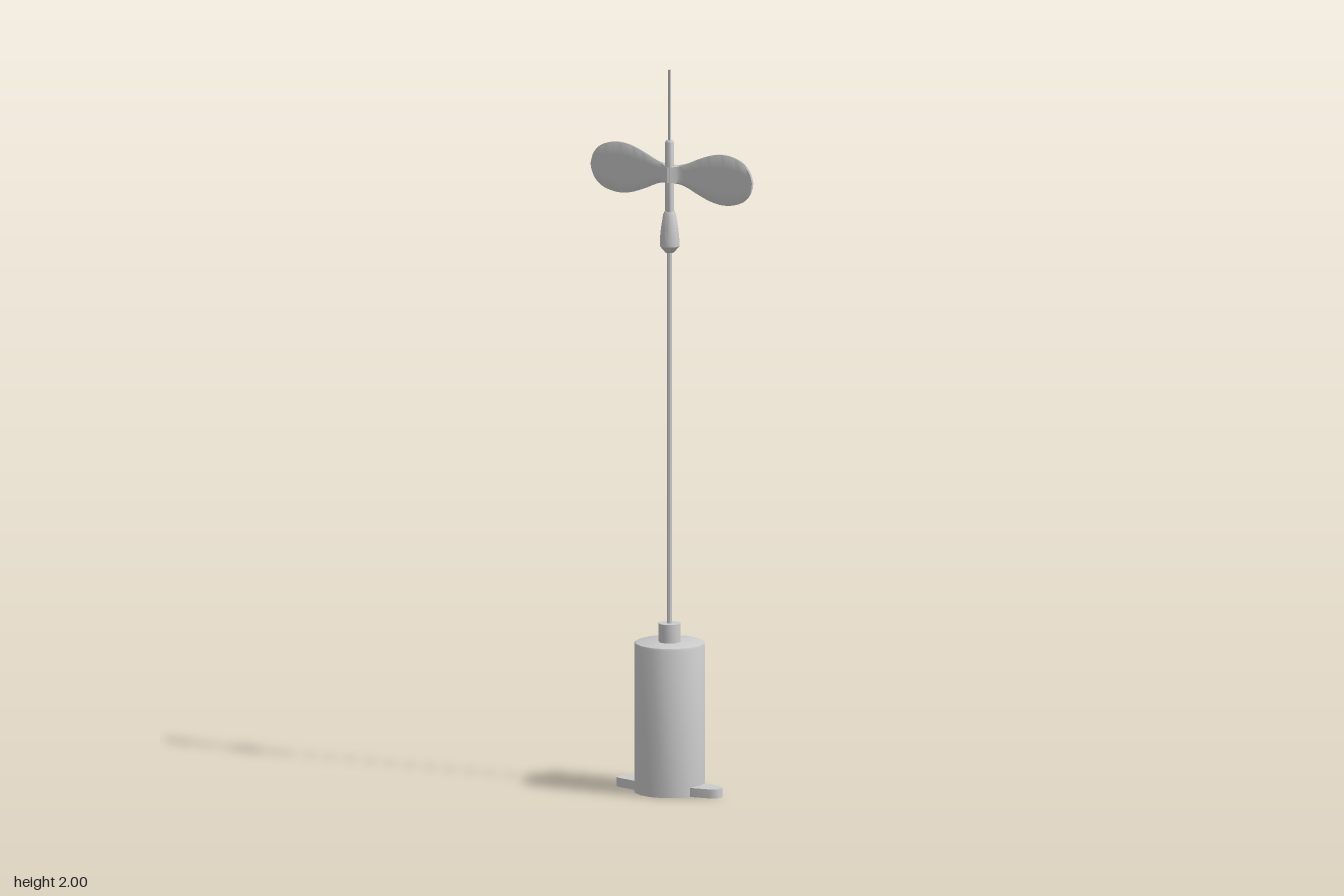
import * as THREE from 'three';
import { toCreasedNormals } from 'three/addons/utils/BufferGeometryUtils.js';

const material = new THREE.MeshStandardMaterial({ color: 0xcccccc });

function add(group, name, geometry) {
  const mesh = new THREE.Mesh(toCreasedNormals(geometry, 0.6), material);
  mesh.name = name;
  group.add(mesh);
  return mesh;
}

// Turned part from [radius, height] pairs, bottom to top
function turned(profile, sides) {
  return new THREE.LatheGeometry(profile.map(([r, y]) => new THREE.Vector2(r, y)), sides);
}

// Two-lobed blade lofted along x: flat back, front swelling over the rod at the hub
function bladeGeometry() {
  const half = [[0, 0.025], [0.04, 0.03], [0.09, 0.051], [0.13, 0.065], [0.165, 0.07],
    [0.2, 0.066], [0.23, 0.054], [0.25, 0.034], [0.257, 0.018], [0.26, 0.003]];
  const points = [...half.slice(1).reverse().map(([x, h]) => [-x, h]), ...half];
  const curve = new THREE.CatmullRomCurve3(points.map(([x, h]) => new THREE.Vector3(x, h, 0)));
  const stations = 72, back = -0.016, front = -0.008;
  const rows = [-1, -0.5, 0, 0.5, 1];
  const positions = [], index = [];
  for (let i = 0; i <= stations; i++) {
    const p = curve.getPoint(i / stations);
    const h = Math.max(p.y, 0.003), bevel = Math.min(0.004, h * 0.5);
    const bulge = 0.022 * Math.exp(-Math.pow(p.x / 0.016, 2));
    const ring = [
      ...rows.map((t) => [t * (h - bevel), front + bulge]),
      [h, front - 0.002], [h, back + 0.002],
      ...rows.map((t) => [-t * (h - bevel), back]),
      [-h, back + 0.002], [-h, front - 0.002],
    ];
    ring.forEach(([y, z]) => positions.push(p.x, y, z));
  }
  const n = 14;
  for (let i = 0; i < stations; i++) {
    for (let j = 0; j < n; j++) {
      const a = i * n + j, b = i * n + (j + 1) % n;
      index.push(a, a + n, b, b, a + n, b + n);
    }
  }
  // Tip caps
  const last = stations * n;
  for (let j = 1; j < n - 1; j++) {
    index.push(0, j, j + 1, last, last + j + 1, last + j);
  }
  const geometry = new THREE.BufferGeometry();
  geometry.setAttribute('position', new THREE.Float32BufferAttribute(positions, 3));
  geometry.setIndex(index);
  return geometry;
}

// Tapered foot with a rounded outer end, lying along +x
function footGeometry() {
  const shape = new THREE.Shape();
  shape.moveTo(0.06, -0.04);
  shape.lineTo(0.09, -0.037);
  shape.lineTo(0.146, -0.026);
  shape.quadraticCurveTo(0.166, -0.018, 0.166, 0);
  shape.quadraticCurveTo(0.166, 0.018, 0.146, 0.026);
  shape.lineTo(0.09, 0.037);
  shape.lineTo(0.06, 0.04);
  return new THREE.ExtrudeGeometry(shape, { depth: 0.025, bevelEnabled: false, curveSegments: 5 })
    .rotateX(-Math.PI / 2);
}

export function createModel() {
  const model = new THREE.Group();
  model.name = 'spinnerOnPole';

  // Base
  add(model, 'baseCylinder', turned([[0, 0], [0.097, 0], [0.097, 0.408], [0.095, 0.413], [0.09, 0.415], [0, 0.415]], 16));
  add(model, 'baseCollar', turned([[0, 0.41], [0.03, 0.41], [0.03, 0.466], [0, 0.466]], 16));
  for (const side of [0, 1]) {
    const foot = add(model, side ? 'rightFoot' : 'leftFoot', footGeometry());
    foot.rotation.y = side * Math.PI;
  }

  // Pole and the fitting at its upper end
  add(model, 'pole', turned([[0, 0.46], [0.007, 0.46], [0.007, 1.51], [0, 1.51]], 8));
  add(model, 'ferrule', turned([[0, 1.494], [0.012, 1.494], [0.027, 1.512], [0.027, 1.53],
    [0.024, 1.56], [0.018, 1.598], [0.014, 1.608], [0, 1.608]], 16));
  add(model, 'upperRod', turned([[0, 1.6], [0.012, 1.6], [0.012, 1.8], [0.009, 1.805], [0, 1.805]], 12));
  add(model, 'needle', new THREE.BoxGeometry(0.006, 0.2, 0.006).translate(0, 1.9, 0));

  // Blade
  add(model, 'blade', bladeGeometry()).position.y = 1.71;
  return model;
}
